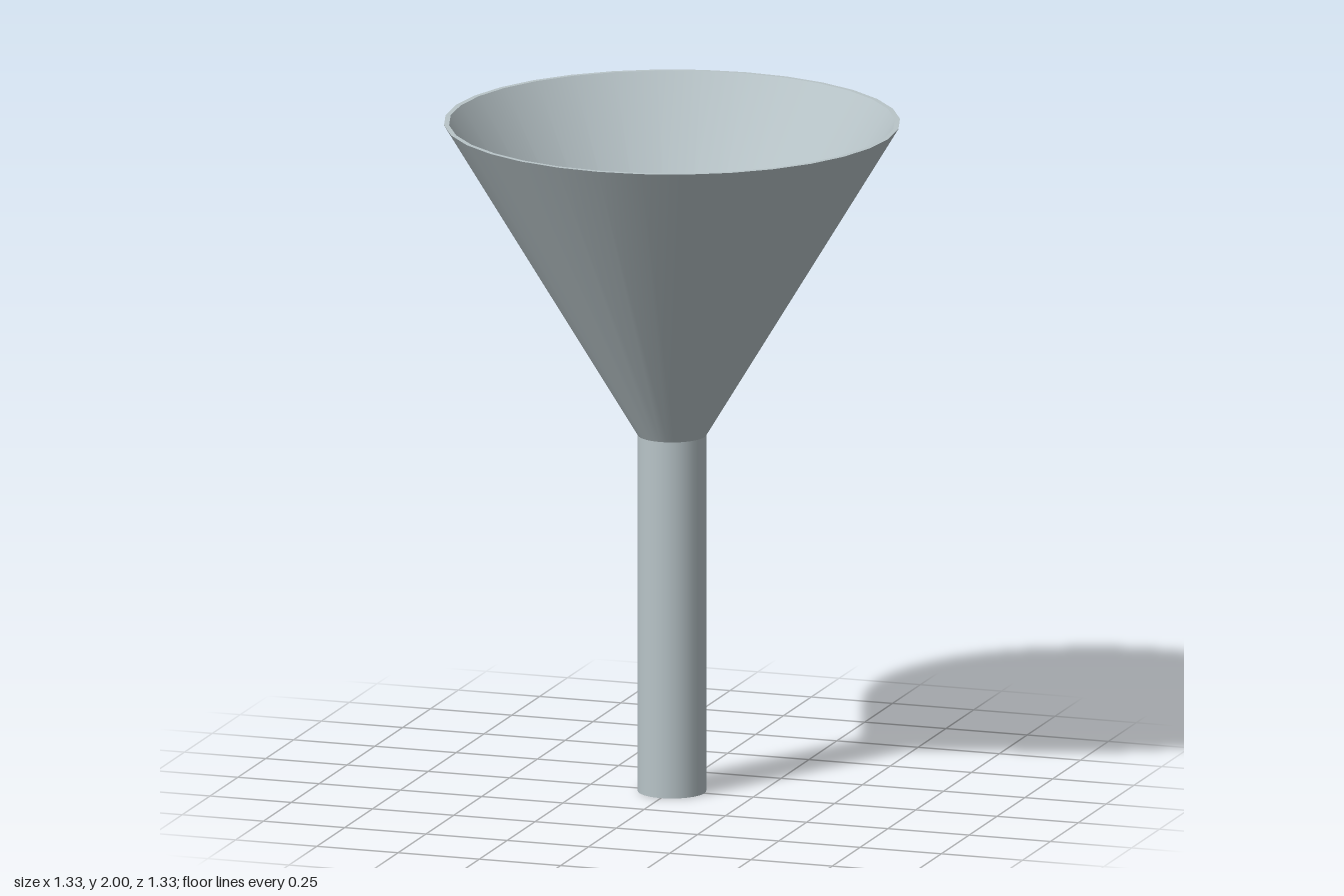
import * as THREE from 'three';

const SIDES = 32;

export function createModel() {
  const funnel = new THREE.Group();
  funnel.name = 'funnel';
  const paleGrey = new THREE.MeshStandardMaterial({ color: 0xb8c4c8 });
  paleGrey.name = 'paleGrey';

  // Each band is turned separately so the edges between bands stay sharp
  const band = (name, from, to) => {
    const points = [new THREE.Vector2(...from), new THREE.Vector2(...to)];
    const mesh = new THREE.Mesh(new THREE.LatheGeometry(points, SIDES), paleGrey);
    mesh.name = name;
    funnel.add(mesh);
  };

  // Closed wall section as [radius, height]: up the outside, down the inside
  const stemFoot = [0.1, 0];
  const neck = [0.1, 1.065];
  const rimOuter = [0.665, 2];
  const rimInner = [0.65, 2];
  const throat = [0.06, 1.065];
  const boreFoot = [0.06, 0];

  band('stemOutside', stemFoot, neck);
  band('coneOutside', neck, rimOuter);
  band('rim', rimOuter, rimInner);
  band('coneInside', rimInner, throat);
  band('stemBore', throat, boreFoot);
  band('stemEnd', boreFoot, stemFoot);

  return funnel;
}
